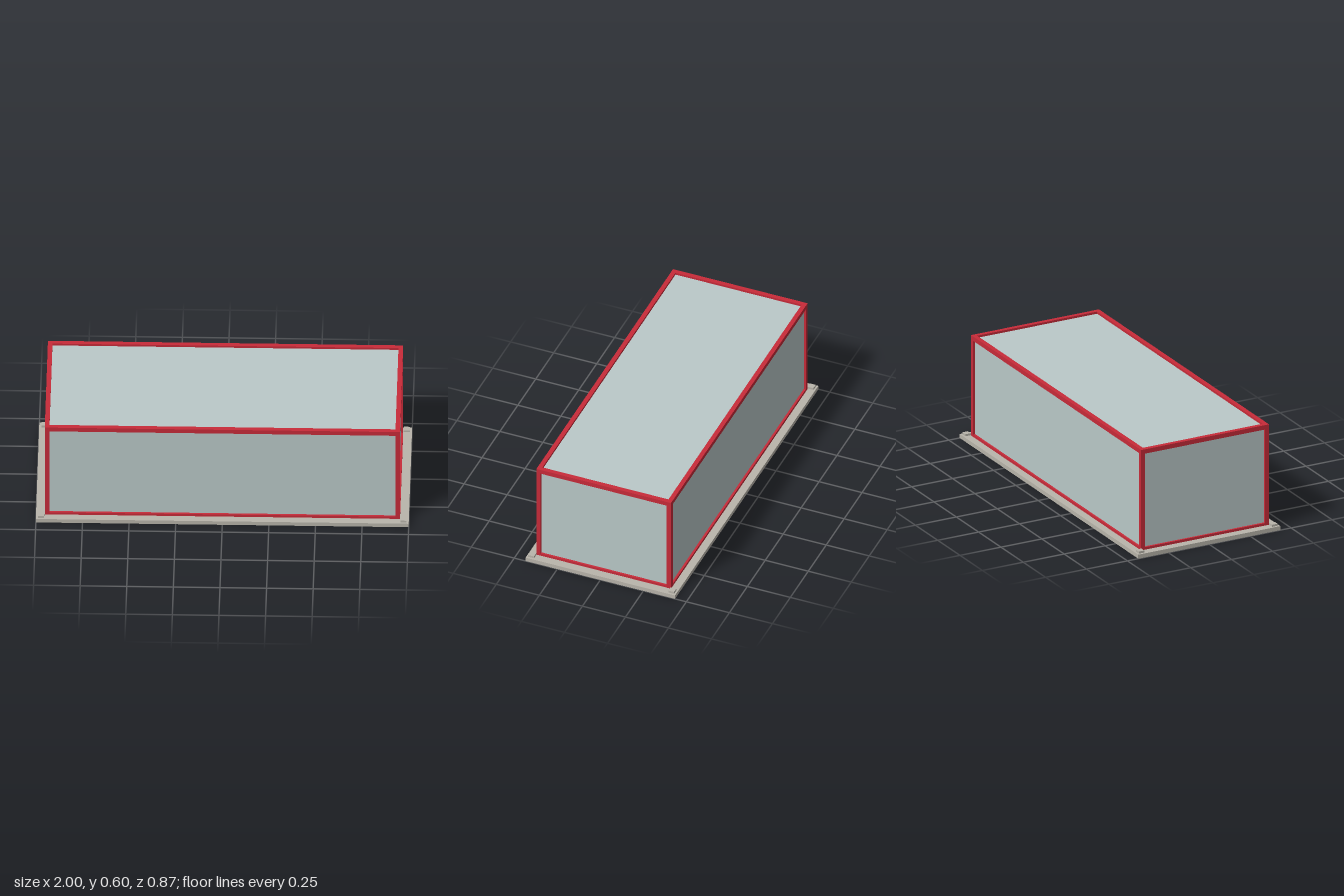
import * as THREE from 'three';

export function createModel() {
  const model = new THREE.Group();
  model.name = 'glazedBox';
  const material = (name, color) => {
    const m = new THREE.MeshStandardMaterial({ color });
    m.name = name;
    return m;
  };
  const red = material('red frame', 0xc82b39);
  const glass = material('pale glass', 0xbac9c8);
  const stone = material('grey base', 0xb9b5ab);

  // Box given by its centre in x and z and its bottom and top heights
  const box = (name, mat, w, d, y0, y1, x = 0, z = 0) => {
    const mesh = new THREE.Mesh(new THREE.BoxGeometry(w, y1 - y0, d), mat);
    mesh.name = name;
    mesh.position.set(x, (y0 + y1) / 2, z);
    model.add(mesh);
  };

  const X = 0.953, Z = 0.391;      // half size of the frame
  const bar = 0.025;               // frame bar thickness
  const floor = 0.023, sill = 0.037, top = 0.602;
  const recess = 0.012;            // panels sit back from the frame faces

  // Base slab
  box('base', stone, 2, 0.868, 0, floor);

  // Glazed body
  box('panels', glass, 2 * (X - recess), 2 * (Z - recess), floor, top - recess);

  // Corner posts and the small pads beside them
  for (const sx of [-1, 1]) {
    for (const sz of [-1, 1]) {
      box('cornerPost', red, bar, bar, floor, top - bar, sx * (X - bar / 2), sz * (Z - bar / 2));
      box('cornerPad', stone, 0.033, 0.033, floor, 0.035, sx * 0.972, sz * 0.407);
    }
  }

  // Top rails and bottom sills on all four sides
  for (const s of [-1, 1]) {
    box('longTopRail', red, 2 * X, bar, top - bar, top, 0, s * (Z - bar / 2));
    box('shortTopRail', red, bar, 2 * (Z - bar), top - bar, top, s * (X - bar / 2), 0);
    box('longSill', red, 2 * (X - bar), bar, floor, sill, 0, s * (Z - bar / 2));
    box('shortSill', red, bar, 2 * (Z - bar), floor, sill, s * (X - bar / 2), 0);
  }
  return model;
}
